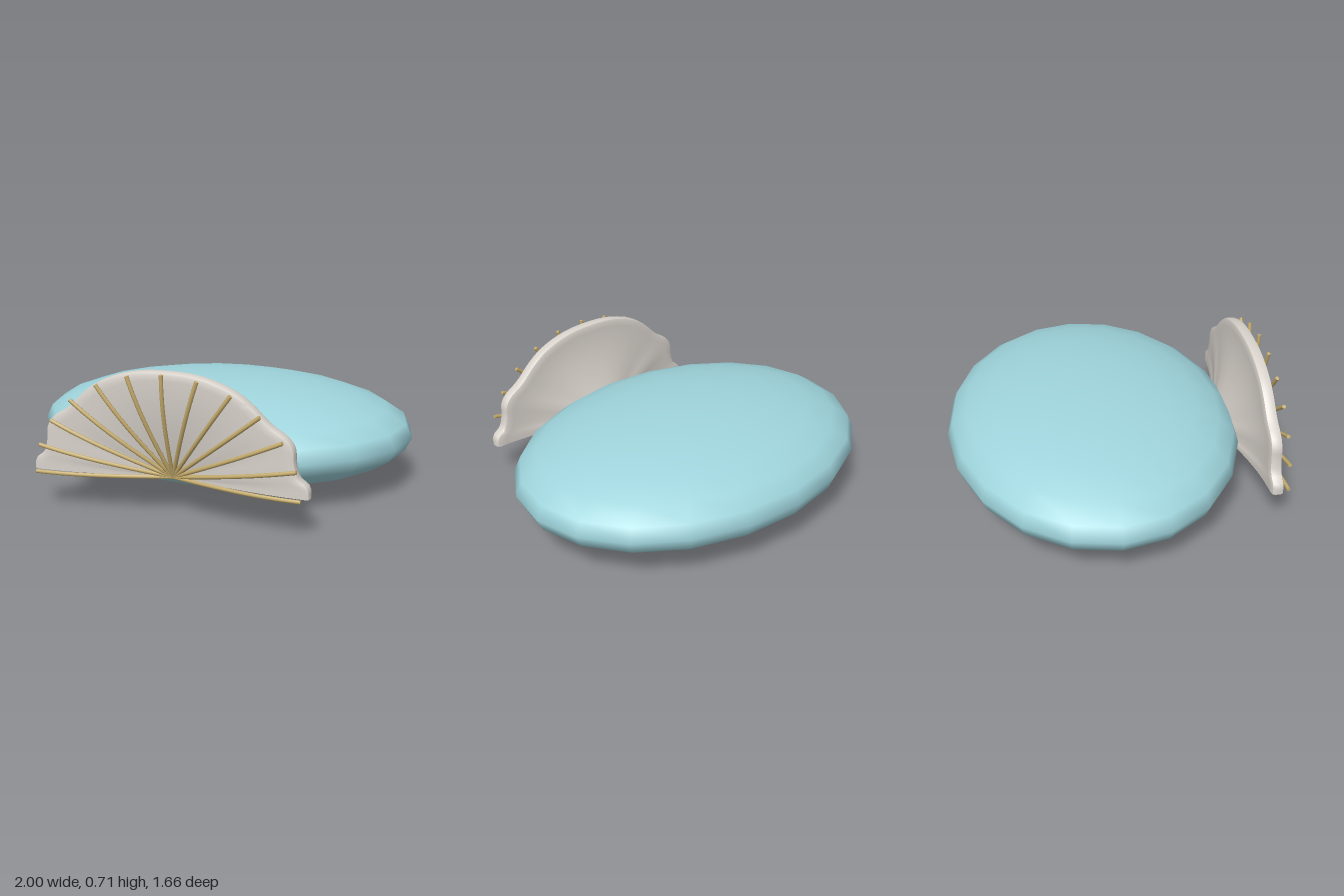
import * as THREE from 'three';
import { toCreasedNormals } from 'three/addons/utils/BufferGeometryUtils.js';

const BASE_Y = 0.19;

// Wavy outline of the fan, from its +x corner over the top to the -x corner
function fanOutline() {
  const half = [[0.68, 0.19], [0.675, 0.24], [0.63, 0.28], [0.61, 0.35], [0.605, 0.41], [0.575, 0.455],
    [0.5, 0.505], [0.46, 0.54], [0.42, 0.58], [0.33, 0.645], [0.175, 0.7], [0, 0.715]];
  const other = half.slice(0, -1).reverse().map(([x, y]) => [-x, y]);
  const points = [...half, ...other].map(([x, y]) => new THREE.Vector3(x, y, 0));
  return new THREE.CatmullRomCurve3(points).getSpacedPoints(96);
}

// Thick, dished half-fan: a closed profile swept from corner to corner
function fanGeometry() {
  const ease = (s) => 1 - Math.sin((s * Math.PI) / 2);
  const back = (s) => 0.725 - 0.15 * ease(s);
  const front = (s) => 0.787 - 0.1 * ease(s);
  const steps = [0, 0.12, 0.25, 0.4, 0.55, 0.7, 0.82, 0.92, 0.97];
  const profile = [
    ...steps.map((s) => [s, back(s)]),
    [0.992, 0.73], [1, 0.743], [1, 0.769], [0.992, 0.782],
    ...steps.slice().reverse().map((s) => [s, front(s)]),
  ];
  const outline = fanOutline();
  const n = profile.length;
  const pos = [];
  const index = [];
  outline.forEach((p) => profile.forEach(([s, z]) => pos.push(p.x * s, BASE_Y + (p.y - BASE_Y) * s, z)));
  const last = outline.length - 1;
  for (let i = 0; i < last; i++) {
    for (let j = 0; j < n - 1; j++) {
      const a = i * n + j, b = a + n;
      index.push(a, b, b + 1, a, b + 1, a + 1);
    }
  }
  // Flat underside on both halves
  for (let j = 0; j < n / 2 - 1; j++) {
    const k = n - 1 - j, o = last * n;
    index.push(j, j + 1, k, j + 1, k - 1, k);
    index.push(o + j, o + k, o + j + 1, o + j + 1, o + k, o + k - 1);
  }
  const geo = new THREE.BufferGeometry();
  geo.setAttribute('position', new THREE.Float32BufferAttribute(pos, 3));
  geo.setIndex(index);
  return toCreasedNormals(geo, Math.PI / 4);
}

// One curved rib from the hinge to the rim, with closed ends
function makeRib(angle, material) {
  const rib = new THREE.Group();
  rib.name = 'fanRib';
  const points = [];
  for (let i = 0; i <= 8; i++) {
    const s = i / 8;
    points.push(new THREE.Vector3(
      0.65 * Math.cos(angle) * s,
      BASE_Y + 0.52 * Math.sin(angle) * s,
      0.69 + 0.13 * Math.sin((s * Math.PI) / 2)));
  }
  const curve = new THREE.CatmullRomCurve3(points);
  const rod = new THREE.Mesh(new THREE.TubeGeometry(curve, 16, 0.01, 8), material);
  rod.name = 'ribRod';
  const tip = new THREE.Mesh(new THREE.CircleGeometry(0.01, 8), material);
  tip.name = 'ribTip';
  tip.position.copy(points[8]);
  tip.quaternion.setFromUnitVectors(new THREE.Vector3(0, 0, 1), curve.getTangent(1));
  rib.add(rod, tip);
  return rib;
}

export function createModel() {
  const blue = new THREE.MeshStandardMaterial({ name: 'paleBlue', color: 0x9fd4dc });
  const cream = new THREE.MeshStandardMaterial({ name: 'warmGrey', color: 0xd8d2cb });
  const gold = new THREE.MeshStandardMaterial({ name: 'gold', color: 0xc4ab6c });

  const model = new THREE.Group();
  model.name = 'fanAndBody';

  // Flattened oval body
  const body = new THREE.Mesh(new THREE.SphereGeometry(1, 20, 12), blue);
  body.name = 'body';
  body.scale.set(1, 0.262, 0.76);
  body.position.set(0, 0.262, -0.07);
  model.add(body);

  // Fan with its thirteen ribs
  const fan = new THREE.Group();
  fan.name = 'fan';
  const web = new THREE.Mesh(fanGeometry(), cream);
  web.name = 'fanWeb';
  fan.add(web);
  for (let i = 0; i <= 12; i++) fan.add(makeRib((i * Math.PI) / 12, gold));
  model.add(fan);

  return model;
}
